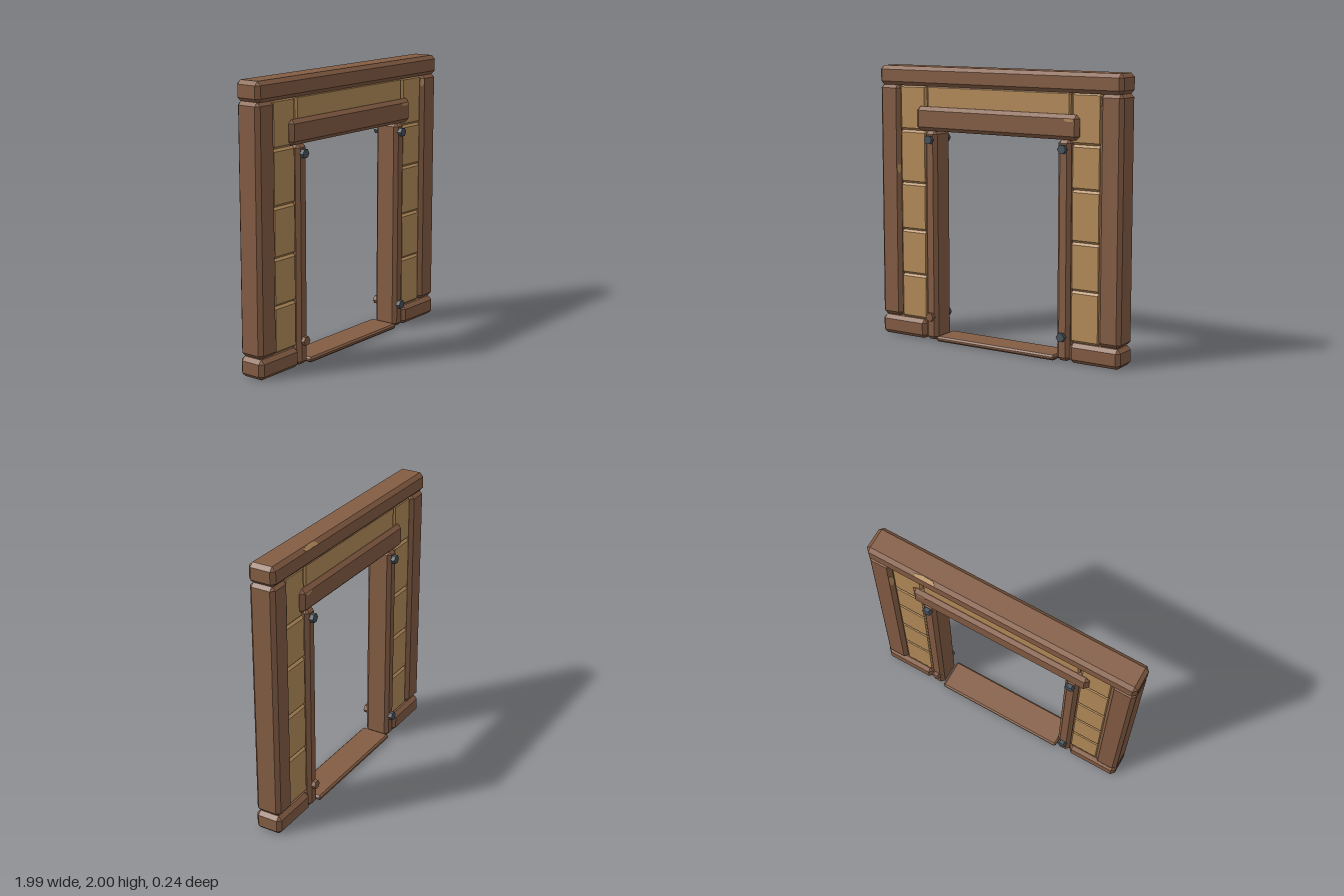
import * as THREE from 'three';
import { ConvexGeometry } from 'three/addons/geometries/ConvexGeometry.js';

// Box with flat chamfers on every edge
function chamferBox(w, h, d, c) {
  const pts = [];
  for (const sx of [-1, 1]) for (const sy of [-1, 1]) for (const sz of [-1, 1]) {
    const x = w / 2, y = h / 2, z = d / 2;
    pts.push(new THREE.Vector3(sx * x, sy * (y - c), sz * (z - c)));
    pts.push(new THREE.Vector3(sx * (x - c), sy * y, sz * (z - c)));
    pts.push(new THREE.Vector3(sx * (x - c), sy * (y - c), sz * z));
  }
  return new ConvexGeometry(pts);
}

export function createModel() {
  const group = new THREE.Group();
  const material = (name, color) => {
    const m = new THREE.MeshStandardMaterial({ color });
    m.name = name;
    return m;
  };
  const beamWood = material('brown beam wood', 0x845d44);
  const plankWood = material('light plank wood', 0xb58c5a);
  const iron = material('dark iron', 0x48535c);

  const add = (name, geometry, mat) => {
    const mesh = new THREE.Mesh(geometry, mat);
    mesh.name = name;
    group.add(mesh);
    return mesh;
  };
  // Chamfered timber given by its x and y limits and its full depth
  const timber = (name, x0, x1, y0, y1, depth, chamfer, mat = beamWood) => {
    const mesh = add(name, chamferBox(Math.abs(x1 - x0), y1 - y0, depth, chamfer), mat);
    mesh.position.set((x0 + x1) / 2, (y0 + y1) / 2, 0);
    return mesh;
  };

  // Horizontal members
  timber('topBeam', -0.995, 0.995, 1.86, 2, 0.2, 0.027);
  timber('lintel', -0.67, 0.665, 1.542, 1.715, 0.204, 0.027);
  timber('threshold', -0.498, 0.495, 0.005, 0.042, 0.222, 0.012);
  timber('overdoorPlank', -0.59, 0.59, 1.66, 1.865, 0.144, 0.012, plankWood);

  // Uprights, foot blocks, wall planks and bolts on each side
  const seams = {
    '-1': [0.145, 0.472, 0.802, 1.15, 1.537, 1.865],
    '1': [0.145, 0.508, 0.845, 1.205, 1.513, 1.865],
  };
  for (const s of [-1, 1]) {
    const side = s > 0 ? 'left' : 'right';
    timber(side + 'Post', s * 0.995, s * 0.822, 0.15, 1.865, 0.19, 0.026);
    timber(side + 'Foot', s * 0.995, s * 0.602, 0.005, 0.145, 0.2, 0.027);
    timber(side + 'Jamb', s * 0.602, s * 0.5, 0.008, 1.545, 0.19, 0.025);
    const ys = seams[s];
    for (let i = 0; i < ys.length - 1; i++) {
      timber(side + 'Plank' + (i + 1), s * 0.83, s * 0.597, ys[i], ys[i + 1], 0.144, 0.016, plankWood);
    }
    for (const y of [0.18, 1.48]) for (const f of [-1, 1]) {
      const worn = y < 1 && s === -f;
      const bolt = add(side + 'Bolt', new THREE.CylinderGeometry(0.033, 0.033, 0.04, 6).toNonIndexed(), worn ? beamWood : iron);
      bolt.geometry.computeVertexNormals();
      bolt.rotation.set(Math.PI / 2, Math.PI / 6, 0);
      bolt.position.set(s * 0.55, y, f * 0.102);
    }
  }

  // Pale chips where the chamfers have worn through
  const chip = (w, h, x, y, z, rx, ry = 0) => {
    const shape = new THREE.Shape([[-0.5, 0.3], [-0.35, -0.4], [0.1, -0.5], [0.5, -0.1], [0.4, 0.5], [-0.4, 0.5]]
      .map(([a, b]) => new THREE.Vector2(a * w, b * h)));
    const geometry = new THREE.ExtrudeGeometry(shape, { depth: 0.003, bevelEnabled: false });
    const mesh = add('woodChip', geometry, plankWood);
    mesh.position.set(x, y, z);
    mesh.rotation.set(rx, ry, 0);
  };
  const q = Math.PI / 4;
  chip(0.16, 0.034, 0.55, 1.9865, -0.0865, -3 * q);
  chip(0.08, 0.022, 0.595, 1.678, 0.1, 0);
  chip(0.08, 0.022, 0.595, 1.678, -0.1, 0, Math.PI);
  chip(0.03, 0.06, 0.835, 1.81, 0.082, 0, -q);
  chip(0.03, 0.14, 0.835, 1.62, -0.082, 0, -3 * q);
  chip(0.03, 0.06, -0.835, 1.25, 0.082, 0, q);

  return group;
}
